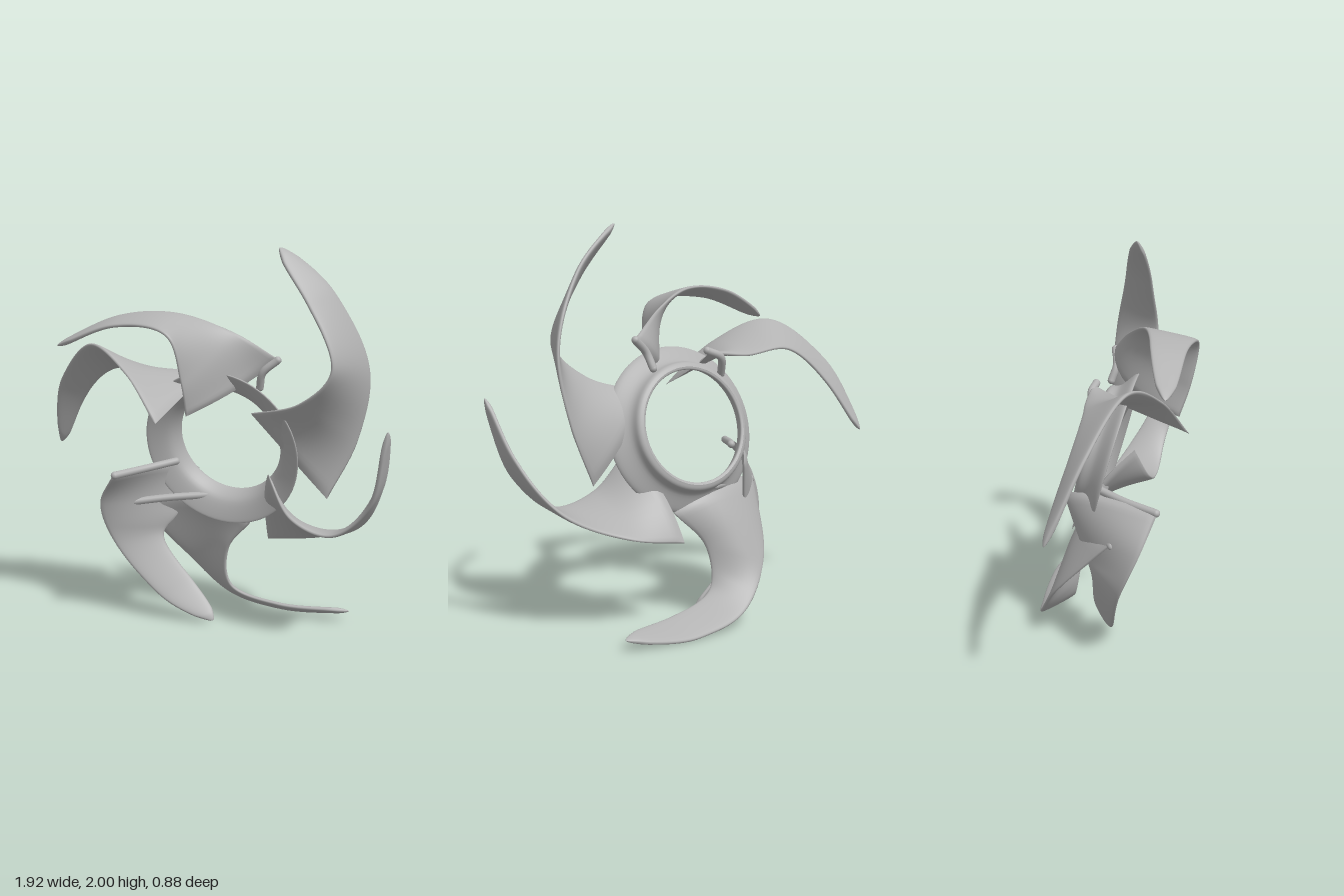
import * as THREE from 'three';

const steel = new THREE.MeshStandardMaterial({ color: 0xb2b2b2 });
steel.name = 'plain grey';

const V = (x, y, z) => new THREE.Vector3(x, y, z);
const { smoothstep, clamp } = THREE.MathUtils;
const CENTRE = V(.08, .99, -.125);
const AXIS = V(-.24, -.28, 1).normalize();

function add(geometry, name, parent) {
  const mesh = new THREE.Mesh(geometry, steel);
  mesh.name = name;
  parent.add(mesh);
  return mesh;
}

// Nearest point on the middle of the hub band
function onHub(p) {
  const radial = p.clone().sub(CENTRE).projectOnPlane(AXIS).setLength(.35);
  return radial.add(CENTRE).addScaledVector(AXIS, .065);
}

// Sheet between two edge curves, with a rounded tip and a root that sags onto the hub
function bladeSurface(tip, front, back) {
  const a = new THREE.CatmullRomCurve3([tip, ...front]);
  const b = new THREE.CatmullRomCurve3([tip, ...back]);
  const middle = a.getPoint(1).lerp(b.getPoint(1), .5);
  const sag = onHub(middle).sub(middle);
  const across = b.getPoint(.12).sub(a.getPoint(.12)).normalize();
  return (u, v) => a.getPoint(u).lerp(b.getPoint(u), v)
    .addScaledVector(across, (v - .5) * .055 * Math.sqrt(Math.min(1, u * 16)) * (1 - smoothstep(u, .06, .35)))
    .addScaledVector(sag, 4 * v * (1 - v) * smoothstep(u, .6, 1));
}

// Gives the sheet thickness with a rounded rim, as loops from tip to root
function thicken(surf, nu = 64, nv = 28, half = .015) {
  const pos = [], idx = [], e = .004;
  for (let i = 0; i <= nu; i++) {
    const u = (i / nu) ** 1.3, u0 = clamp(u, e, 1 - e);
    const h = half * Math.sqrt(Math.min(1, u * 25) * Math.min(1, (1 - u) * 25));
    for (let j = 0; j < nv; j++) {
      const angle = j / nv * Math.PI * 2, sin = Math.sin(angle);
      const v = .5 - .5 * Math.cos(angle), v0 = clamp(v, e, 1 - e);
      const du = surf(u0 + e, v0).sub(surf(u0 - e, v0));
      const dv = surf(u0, v0 + e).sub(surf(u0, v0 - e));
      const offset = h * Math.sign(sin) * Math.abs(sin) ** .6;
      pos.push(...surf(u, v).addScaledVector(du.cross(dv).normalize(), offset));
      if (i < nu) {
        const p = i * nv + j, s = i * nv + (j + 1) % nv;
        idx.push(p, p + nv, s + nv, p, s + nv, s);
      }
    }
  }
  const g = new THREE.BufferGeometry();
  g.setAttribute('position', new THREE.Float32BufferAttribute(pos, 3));
  g.setIndex(idx);
  g.computeVertexNormals();
  return g;
}

function addBlade(model, name, tip, front, back) {
  const group = new THREE.Group();
  group.name = name;
  model.add(group);
  add(thicken(bladeSurface(tip, front, back)), 'bladeSheet', group);
  return group;
}

// Rounded strut from a blade's root corner to the hub
function addStrut(group, ...path) {
  add(new THREE.TubeGeometry(new THREE.CatmullRomCurve3(path), 16, .02, 12), 'rootStrut', group);
  for (const end of [path[0], path[2]]) {
    add(new THREE.SphereGeometry(.02, 12, 8), 'strutEnd', group).position.copy(end);
  }
}

export function createModel() {
  const model = new THREE.Group();
  model.name = 'bladedRotor';

  // Flared hub ring, tilted with the rotor axis
  const profile = new THREE.SplineCurve([
    [.3, -.03], [.325, -.015], [.345, .035], [.42, .09],
    [.42, .108], [.325, .06], [.287, -.015], [.3, -.03],
  ].map(([r, y]) => new THREE.Vector2(r, y))).getPoints(40);
  const hub = add(new THREE.LatheGeometry(profile, 72), 'hubRing', model);
  hub.quaternion.setFromUnitVectors(V(0, 1, 0), AXIS);
  hub.position.copy(CENTRE);

  // Blades: tip, then front and back edges running from the arm to the root corner
  addBlade(model, 'topBlade', V(.38, 2, .115),
    [V(.54, 1.73, .21), V(.66, 1.42, .265), V(.5, 1.25, .2), V(.23, 1.17, .06)],
    [V(.65, 1.77, .09), V(.82, 1.41, .045), V(.77, 1.05, .02), V(.62, .74, .03)]);

  const upper = addBlade(model, 'upperLeftFrontBlade', V(-.765, 1.495, .125),
    [V(-.42, 1.615, .26), V(-.12, 1.58, .375), V(-.06, 1.35, .345), V(-.05, 1.18, .29)],
    [V(-.43, 1.65, .1), V(-.15, 1.67, .1), V(.13, 1.58, .05), V(.36, 1.44, 0)]);
  addStrut(upper, V(.355, 1.435, 0), V(.28, 1.37, 0), V(.26, 1.29, -.03));

  const left = addBlade(model, 'leftBackBlade', V(-.955, .89, -.435),
    [V(-.87, 1.27, -.24), V(-.64, 1.49, -.03), V(-.4, 1.37, .16), V(-.2, 1.14, .32)],
    [V(-.78, 1.16, -.33), V(-.57, 1.34, -.24), V(-.25, 1.33, -.2), V(-.02, 1.36, -.14)]);
  addStrut(left, V(-.03, 1.365, -.13), V(-.1, 1.33, -.16), V(-.15, 1.24, -.12));

  const lower = addBlade(model, 'lowerLeftBlade', V(.005, .015, -.08),
    [V(-.29, .15, -.075), V(-.53, .42, -.06), V(-.58, .65, .03), V(-.48, .83, .13)],
    [V(-.13, .21, -.15), V(-.29, .45, -.18), V(-.22, .56, -.22), V(-.12, .8, -.3)]);
  addStrut(lower, V(-.47, .83, .125), V(-.34, .845, -.02), V(-.21, .865, -.14));

  const bottom = addBlade(model, 'bottomBackBlade', V(.71, .057, -.275),
    [V(.33, .08, -.24), V(.07, .17, -.24), V(.06, .38, -.2), V(.2, .56, -.11)],
    [V(.33, .01, -.4), V(.03, .075, -.435), V(-.2, .29, -.37), V(-.44, .65, -.1)]);
  addStrut(bottom, V(-.43, .645, -.09), V(-.25, .665, -.14), V(-.02, .68, -.2));

  addBlade(model, 'rightFrontBlade', V(.95, 1.165, .435),
    [V(.86, .78, .34), V(.67, .61, .27), V(.46, .67, .2), V(.33, .87, .1)],
    [V(.92, .88, .25), V(.8, .62, .04), V(.55, .49, -.16), V(.27, .44, -.25)]);

  return model;
}
